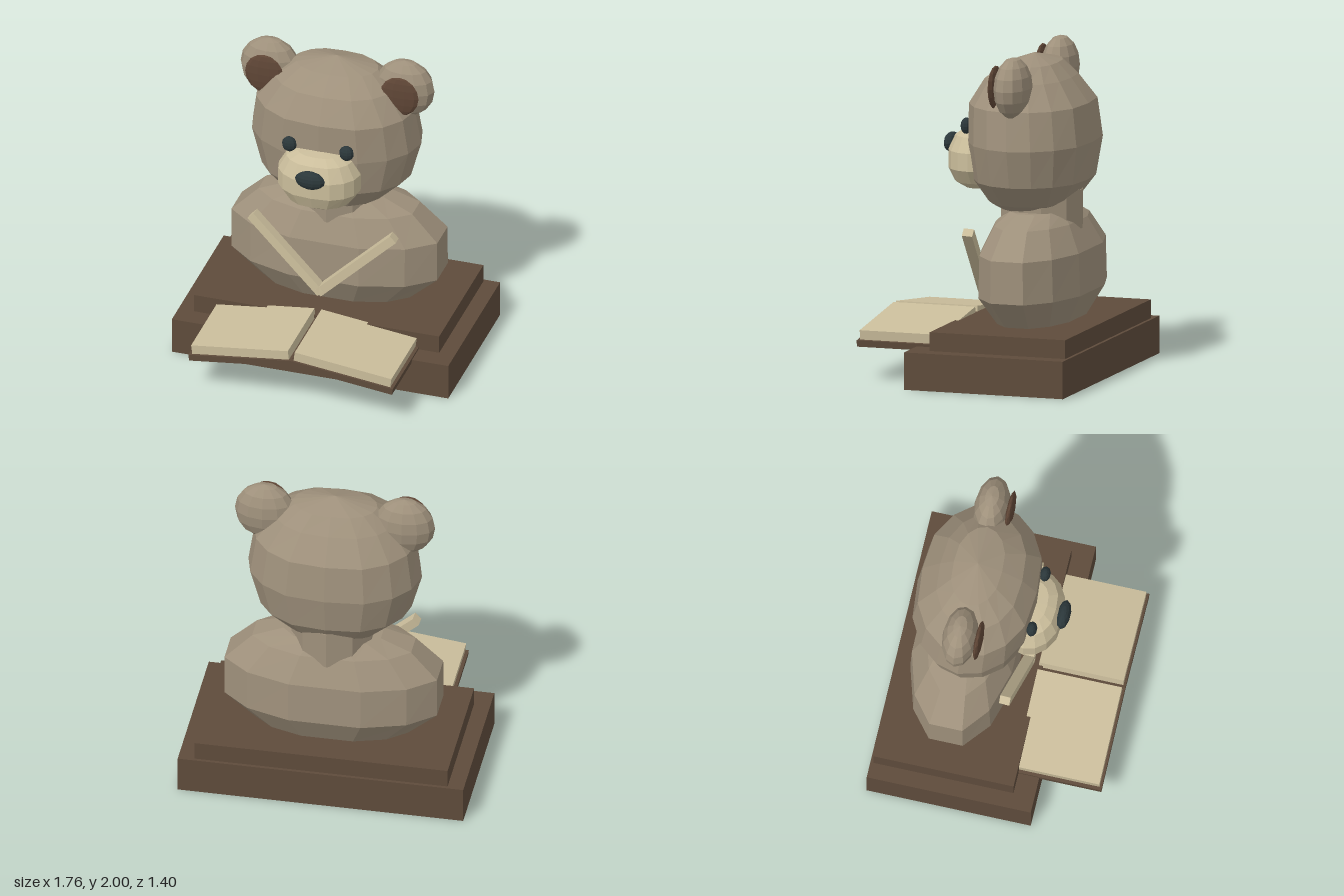
import * as THREE from 'three';

const mat = (name, color) => {
  const m = new THREE.MeshStandardMaterial({ color, flatShading: true });
  m.name = name;
  return m;
};

// Mirror one quadrant of (x, z) points into a closed outline
function outline(q) {
  const r = [...q].reverse();
  const all = [...q, ...r.map(([x, z]) => [-x, z]), ...q.map(([x, z]) => [-x, -z]), ...r.map(([x, z]) => [x, -z])];
  return all.filter(([x, z], i) => {
    const [u, v] = all[(i + 1) % all.length];
    return Math.hypot(u - x, v - z) > 1e-6;
  });
}

// Faceted body from rings [y, halfWidth, halfDepth, centreZ], listed top to bottom
function loft(plan, rings) {
  const pos = [], idx = [], n = plan.length;
  rings.forEach(([y, rx, rz, zc]) => plan.forEach(([x, z]) => pos.push(x * rx, y, z * rz + zc)));
  for (let j = 0; j < rings.length - 1; j++) {
    for (let i = 0; i < n; i++) {
      const a = j * n + i, b = j * n + (i + 1) % n;
      idx.push(a, b, b + n, a, b + n, a + n);
    }
  }
  const g = new THREE.BufferGeometry();
  g.setAttribute('position', new THREE.Float32BufferAttribute(pos, 3));
  g.setIndex(idx);
  g.computeVertexNormals();
  return g;
}

export function createModel() {
  const fur = mat('fur', 0x9e907b);
  const wood = mat('wood', 0x5e4b3b);
  const cream = mat('cream', 0xcabd9b);
  const innerEarBrown = mat('innerEarBrown', 0x5f4636);
  const dark = mat('dark', 0x2b373a);

  const model = new THREE.Group();
  model.name = 'bearBustWithBook';
  const add = (name, geo, material, x = 0, y = 0, z = 0) => {
    const m = new THREE.Mesh(geo, material);
    m.name = name;
    m.position.set(x, y, z);
    model.add(m);
    return m;
  };
  const ball = (rx, ry, rz, w = 10, h = 8) => new THREE.SphereGeometry(1, w, h).scale(rx, ry, rz);

  // Two-step plinth
  add('plinthBase', new THREE.BoxGeometry(1.76, 0.23, 1.02), wood, 0, 0.115, -0.19);
  add('plinthTop', new THREE.BoxGeometry(1.56, 0.125, 0.87), wood, 0, 0.2825, -0.245);

  // Torso and neck
  const bodyPlan = outline([[1, 0.33], [0.75, 0.75], [0.34, 1]]);
  add('torso', loft(bodyPlan, [
    [1.02, 0, 0, -0.26], [1.015, 0.3, 0.17, -0.26], [0.945, 0.49, 0.235, -0.255],
    [0.78, 0.655, 0.31, -0.26], [0.52, 0.655, 0.32, -0.26], [0.345, 0.47, 0.225, -0.26], [0.33, 0, 0, -0.26],
  ]), fur);
  add('neck', new THREE.CylinderGeometry(0.26, 0.26, 0.24, 10), fur, 0, 1.02, -0.257);

  // Head and muzzle
  const roundPlan = outline([[1, 0], [0.93, 0.38], [0.75, 0.7], [0.45, 0.94], [0, 1]]);
  add('head', loft(roundPlan, [
    [1.965, 0, 0, -0.21], [1.91, 0.26, 0.15, -0.21], [1.82, 0.385, 0.255, -0.19],
    [1.67, 0.5, 0.355, -0.2], [1.435, 0.535, 0.37, -0.215], [1.2, 0.47, 0.34, -0.21],
    [1.06, 0.32, 0.25, -0.2], [1.0, 0.2, 0.15, -0.2], [0.98, 0, 0, -0.2],
  ]), fur);
  add('muzzle', loft(roundPlan, [
    [1.495, 0, 0, 0.13], [1.485, 0.14, 0.09, 0.13], [1.45, 0.21, 0.145, 0.13], [1.36, 0.26, 0.185, 0.13],
    [1.25, 0.26, 0.185, 0.13], [1.165, 0.2, 0.15, 0.13], [1.125, 0.12, 0.09, 0.13], [1.115, 0, 0, 0.13],
  ]), cream);
  add('nose', ball(0.095, 0.06, 0.042), dark, 0, 1.385, 0.323);

  for (const [side, s] of [['left', 1], ['right', -1]]) {
    // Eyes and ears
    add(side + 'Eye', ball(0.046, 0.05, 0.033), dark, s * 0.182, 1.52, 0.166);
    add(side + 'Ear', ball(0.187, 0.19, 0.108, 12, 8), fur, s * 0.43, 1.812, -0.222);
    add(side + 'InnerEar', ball(0.122, 0.132, 0.024), innerEarBrown, s * 0.43, 1.812, -0.107);

    // Slanted collar strip, running from shoulder to chest centre
    const top = new THREE.Vector3(s * 0.452, 0.912, 0.06);
    const low = new THREE.Vector3(-s * 0.01, 0.475, 0.112);
    const yAxis = top.clone().sub(low);
    const len = yAxis.length();
    yAxis.normalize();
    const zAxis = new THREE.Vector3(0, 0, 1).addScaledVector(yAxis, -yAxis.z).normalize();
    const xAxis = new THREE.Vector3().crossVectors(yAxis, zAxis);
    const strip = add(side + 'Collar', new THREE.BoxGeometry(0.055, len, 0.065), cream);
    strip.quaternion.setFromRotationMatrix(new THREE.Matrix4().makeBasis(xAxis, yAxis, zAxis));
    strip.position.copy(top).add(low).multiplyScalar(0.5);

    // Open book half: cover with a page block on it
    const cover = add(side + 'Cover', new THREE.BoxGeometry(0.655, 0.04, 0.54), wood, s * 0.323, 0.265, 0.435);
    const pages = add(side + 'Pages', new THREE.BoxGeometry(0.62, 0.062, 0.525), cream, s * 0.326, 0.313, 0.4275);
    cover.rotation.z = pages.rotation.z = -s * 0.12;
  }
  return model;
}
